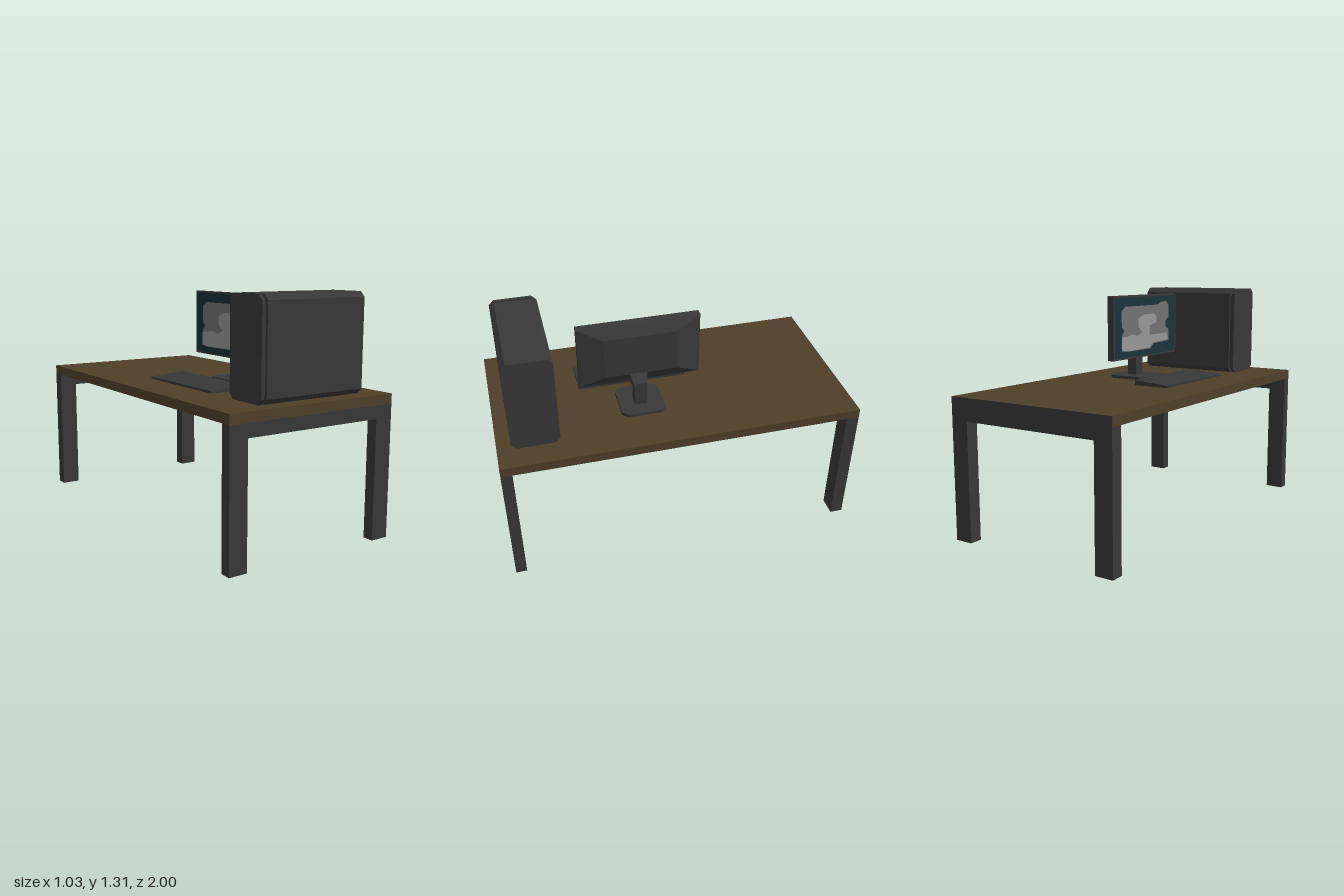
import * as THREE from 'three';

const mat = (name, color, extra = {}) => {
  const m = new THREE.MeshStandardMaterial({ color, ...extra });
  m.name = name;
  return m;
};

export function createModel() {
  const group = new THREE.Group();
  const wood = mat('brown wood', 0x4f3f2a);
  const grey = mat('charcoal grey', 0x383838);
  const teal = mat('dark teal', 0x1a323b);
  const mid = mat('mid grey', 0x727272);
  const light = mat('light grey', 0x979797);

  const add = (name, geo, material, parent = group) => {
    const m = new THREE.Mesh(geo, material);
    m.name = name;
    parent.add(m);
    return m;
  };

  // Box given by its limits on each axis
  const box = (name, x0, x1, y0, y1, z0, z1, material, parent) => {
    const m = add(name, new THREE.BoxGeometry(x1 - x0, y1 - y0, z1 - z0), material, parent);
    m.position.set((x0 + x1) / 2, (y0 + y1) / 2, (z0 + z1) / 2);
    return m;
  };

  // Rectangle centred on the origin with cut corners
  const cutRect = (w, h, c) => {
    const a = w / 2, b = h / 2;
    return new THREE.Shape([
      [-a + c, -b], [a - c, -b], [a, -b + c], [a, b - c],
      [a - c, b], [-a + c, b], [-a, b - c], [-a, -b + c],
    ].map(p => new THREE.Vector2(...p)));
  };

  const extrude = (shape, depth) =>
    new THREE.ExtrudeGeometry(shape, { depth, bevelEnabled: false });

  // Flat-sided loft along x through rectangles [x, y0, y1, z0, z1]
  const loft = (rings) => {
    const pts = rings.map(([x, y0, y1, z0, z1]) =>
      [[x, y1, z0], [x, y1, z1], [x, y0, z1], [x, y0, z0]]);
    const pos = [];
    const quad = (a, b, c, d) => pos.push(...a, ...b, ...c, ...a, ...c, ...d);
    for (let r = 0; r < pts.length - 1; r++) {
      const a = pts[r], b = pts[r + 1];
      for (let i = 0; i < 4; i++) {
        const j = (i + 1) % 4;
        quad(a[i], a[j], b[j], b[i]);
      }
    }
    quad(...[...pts[0]].reverse());
    quad(...pts[pts.length - 1]);
    const g = new THREE.BufferGeometry();
    g.setAttribute('position', new THREE.Float32BufferAttribute(pos, 3));
    g.computeVertexNormals();
    return g;
  };

  // Desk: top and one leg frame at each end
  const desk = new THREE.Group();
  desk.name = 'desk';
  group.add(desk);
  const W = 0.516, TOP = 0.785;
  box('tabletop', -W, W, 0.732, TOP, -0.997, 1, wood, desk);
  box('backEndPlate', -W, W, 0.732, TOP, -1, -0.997, grey, desk);
  for (const [name, z0, z1] of [['frontFrame', 0.938, 1], ['backFrame', -1, -0.928]]) {
    const frame = new THREE.Group();
    frame.name = name;
    desk.add(frame);
    box('beam', -W, W, 0.66, 0.732, z0, z1, grey, frame);
    for (const s of [-1, 1]) {
      const x = s * (W - 0.0525);
      box('leg', x - 0.0525, x + 0.0525, 0, 0.66, z0, z1, grey, frame);
    }
  }

  // Computer tower: cut-corner sections along x with a groove behind the front panel
  const tower = new THREE.Group();
  tower.name = 'tower';
  group.add(tower);
  for (const [name, x0, x1, inset] of [
    ['towerPanel', -0.28, -0.262, 0],
    ['towerGroove', -0.262, -0.247, 0.014],
    ['towerBody', -0.247, 0.372, 0],
  ]) {
    const g = extrude(cutRect(0.262 - 2 * inset, 0.53 - 2 * inset, 0.028), x1 - x0);
    g.rotateY(Math.PI / 2);
    add(name, g, grey, tower).position.set(x0, TOP + 0.265, 0.792);
  }

  // Monitor: housing tapering to the back, on a neck and cut-corner foot
  const monitor = new THREE.Group();
  monitor.name = 'monitor';
  group.add(monitor);
  add('housing', loft([
    [0.058, 0.917, 1.288, -0.178, 0.505],
    [0.099, 0.917, 1.288, -0.178, 0.505],
    [0.137, 0.984, 1.222, -0.04, 0.367],
  ]), grey, monitor);
  box('neck', 0.12, 0.178, 0.79, 0.935, 0.143, 0.213, grey, monitor);
  add('neckBracket', loft([
    [0.115, 0.925, 0.987, 0.13, 0.226],
    [0.137, 0.925, 0.985, 0.13, 0.226],
    [0.178, 0.925, 0.94, 0.14, 0.216],
  ]), grey, monitor);
  const foot = extrude(cutRect(0.26, 0.25, 0.03), 0.017);
  foot.rotateX(-Math.PI / 2);
  add('foot', foot, grey, monitor).position.set(0.13, TOP, 0.173);

  // Screen picture: flat shapes in fractions of the screen, facing -x
  const Z0 = -0.168, Z1 = 0.495, Y0 = 0.927, Y1 = 1.278;
  const patch = (name, pts, x, material) => {
    const g = new THREE.ShapeGeometry(new THREE.Shape(pts.map(([u, v]) =>
      new THREE.Vector2(Z0 + u * (Z1 - Z0), Y1 - v * (Y1 - Y0)))));
    g.rotateY(-Math.PI / 2);
    add(name, g, material, monitor).position.x = x;
  };
  patch('screen', [[0, 1], [1, 1], [1, 0], [0, 0]], 0.0565, teal);
  patch('screenPicture', [
    [0.1, 0.88], [0.1, 0.62], [0.14, 0.56], [0.1, 0.48], [0.1, 0.22], [0.16, 0.15],
    [0.68, 0.15], [0.74, 0.1], [0.84, 0.1], [0.88, 0.18], [0.88, 0.38], [0.82, 0.44],
    [0.82, 0.54], [0.88, 0.6], [0.88, 0.8], [0.62, 0.82], [0.56, 0.9], [0.2, 0.9],
  ], 0.0545, mid);
  patch('screenLightBand', [
    [0.1, 0.88], [0.1, 0.66], [0.28, 0.62], [0.34, 0.66], [0.42, 0.6], [0.36, 0.5],
    [0.36, 0.36], [0.44, 0.3], [0.62, 0.3], [0.66, 0.36], [0.66, 0.46], [0.54, 0.5],
    [0.54, 0.66], [0.84, 0.66], [0.86, 0.78], [0.6, 0.8], [0.54, 0.88], [0.2, 0.9],
  ], 0.0525, light);

  // Keyboard: shallow wedge, higher towards the monitor
  const wedge = new THREE.Shape([
    [-0.28, TOP], [-0.062, TOP], [-0.062, 0.814], [-0.28, 0.798],
  ].map(p => new THREE.Vector2(...p)));
  add('keyboard', extrude(wedge, 0.628), grey).position.z = -0.138;

  return group;
}
